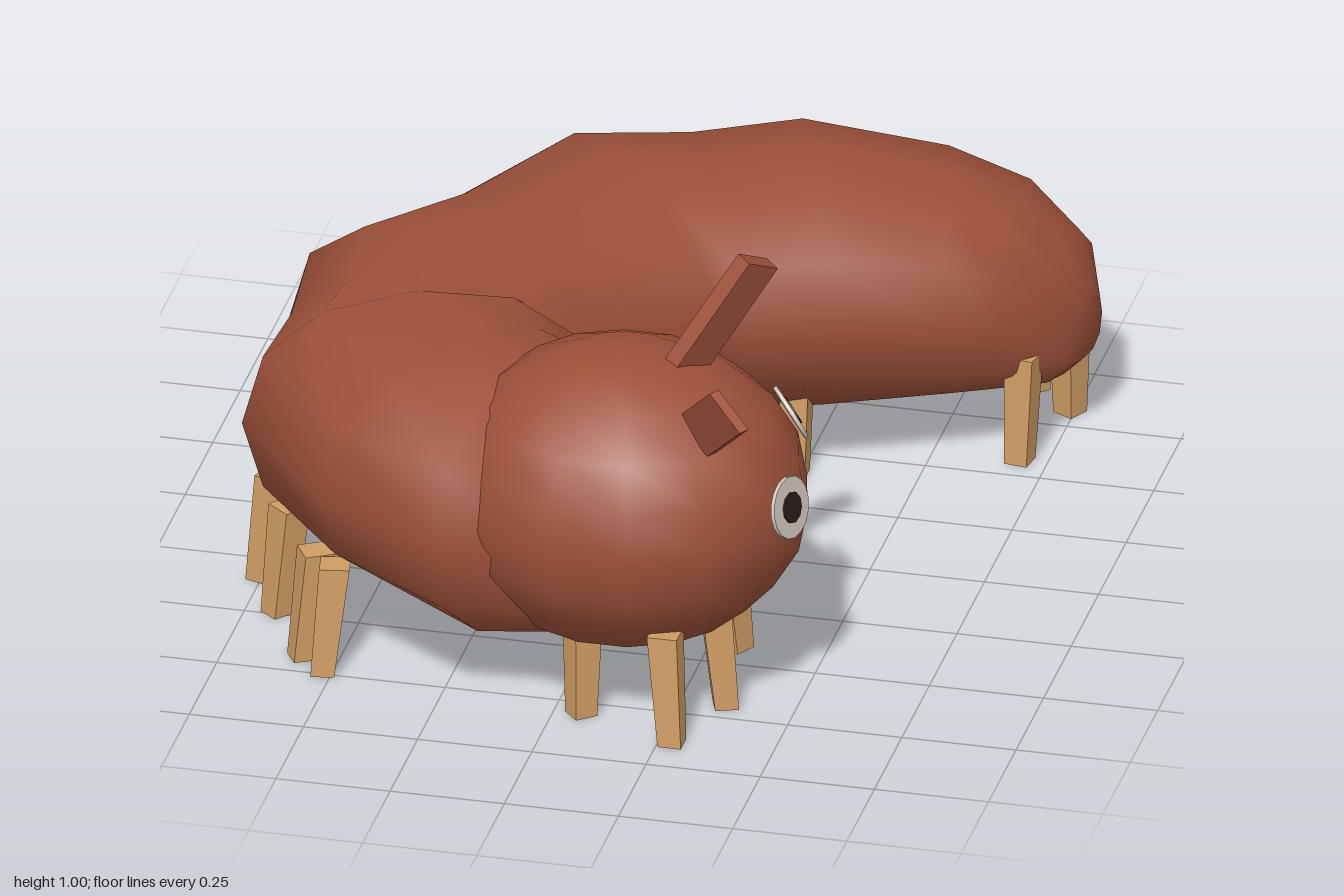
import * as THREE from 'three';

const skin = new THREE.MeshStandardMaterial({ color: 0x9c5039 });
skin.name = 'rust brown';
const tan = new THREE.MeshStandardMaterial({ color: 0xcf9c63 });
tan.name = 'tan';
const white = new THREE.MeshStandardMaterial({ color: 0xd2c8be });
white.name = 'eye white';
const black = new THREE.MeshStandardMaterial({ color: 0x2a1d1c });
black.name = 'pupil black';

const V = (x, y, z) => new THREE.Vector3(x, y, z);
const UP = V(0, 1, 0);

function add(parent, name, geometry, material) {
  const mesh = new THREE.Mesh(geometry, material);
  mesh.name = name;
  parent.add(mesh);
  return mesh;
}

// Body cross-sections from tail to neck: x, z, half width, top, bottom
const RINGS = [
  [0.795, -0.7, 0.07, 0.36, 0.19],
  [0.75, -0.72, 0.16, 0.46, 0.14],
  [0.65, -0.73, 0.235, 0.55, 0.13],
  [0.5, -0.71, 0.29, 0.61, 0.12],
  [0.22, -0.63, 0.345, 0.67, 0.11],
  [0.02, -0.54, 0.34, 0.66, 0.12],
  [-0.15, -0.45, 0.365, 0.69, 0.11],
  [-0.3, -0.22, 0.345, 0.66, 0.12],
  [-0.415, 0, 0.395, 0.69, 0.12],
  [-0.41, 0.17, 0.36, 0.67, 0.13],
  [-0.42, 0.29, 0.38, 0.7, 0.13],
  [-0.28, 0.48, 0.36, 0.7, 0.14],
  [-0.1, 0.6, 0.345, 0.71, 0.12],
  [0.05, 0.62, 0.29, 0.65, 0.15],
];

function bodyGeometry(sides = 12) {
  const positions = [];
  const index = [];
  const last = RINGS.length - 1;
  const centre = (i) => {
    const [x, z, , top, bottom] = RINGS[Math.min(last, Math.max(0, i))];
    return V(x, (top + bottom) / 2, z);
  };
  const soft = (v) => Math.sign(v) * Math.abs(v) ** 0.88;
  RINGS.forEach(([, , w, top, bottom], i) => {
    const along = centre(i + 1).sub(centre(i - 1)).setY(0).normalize();
    const side = UP.clone().cross(along);
    for (let j = 0; j < sides; j++) {
      const a = (j / sides) * Math.PI * 2;
      const p = centre(i)
        .addScaledVector(side, w * soft(Math.cos(a)))
        .addScaledVector(UP, ((top - bottom) / 2) * soft(Math.sin(a)));
      positions.push(p.x, p.y, p.z);
    }
  });
  const at = (i, j) => i * sides + (j % sides);
  const tail = RINGS.length * sides;
  positions.push(...centre(0).toArray(), ...centre(last).toArray());
  for (let j = 0; j < sides; j++) {
    for (let i = 0; i < last; i++) {
      index.push(at(i, j), at(i, j + 1), at(i + 1, j + 1));
      index.push(at(i, j), at(i + 1, j + 1), at(i + 1, j));
    }
    index.push(tail, at(0, j + 1), at(0, j));
    index.push(tail + 1, at(last, j), at(last, j + 1));
  }
  const g = new THREE.BufferGeometry();
  g.setAttribute('position', new THREE.Float32BufferAttribute(positions, 3));
  g.setIndex(index);
  g.computeVertexNormals();
  return g;
}

const HEAD = V(0.115, 0.46, 0.63);
const HEAD_SIZE = V(0.4, 0.335, 0.36);

// Flat eye and pupil resting on the head surface
function addEye(parent, name, y, z, radius) {
  const dy = (y - HEAD.y) / HEAD_SIZE.y;
  const dz = (z - HEAD.z) / HEAD_SIZE.z;
  const unit = V(Math.sqrt(1 - dy * dy - dz * dz), dy, dz);
  const eye = new THREE.Group();
  eye.name = name;
  eye.position.copy(unit).multiply(HEAD_SIZE).add(HEAD);
  const normal = unit.clone().divide(HEAD_SIZE).normalize();
  eye.quaternion.setFromUnitVectors(UP, normal);
  add(eye, 'eyeWhite', new THREE.CylinderGeometry(radius, radius, 0.009, 16), white).position.y = 0.006;
  add(eye, 'pupil', new THREE.CylinderGeometry(0.034, 0.034, 0.008, 10), black).position.y = 0.011;
  parent.add(eye);
}

// Flat blade from a base point to a tip, spread along the edge vector
function addFeeler(parent, name, base, tip, edge, thickness) {
  const along = tip.clone().sub(base);
  const flat = edge.clone().cross(along).setLength(thickness);
  const g = new THREE.BoxGeometry(1, 1, 1);
  g.applyMatrix4(new THREE.Matrix4().makeBasis(edge, along, flat));
  add(parent, name, g, skin).position.copy(base).lerp(tip, 0.5);
}

// Foot positions: x, z
const FEET = [
  [0.28, 0.89], [0.35, 0.69], [0.06, 0.8], [0.31, 0.42], [0.09, 0.4],
  [-0.52, 0.74], [-0.58, 0.68], [-0.68, 0.49], [-0.75, 0.34], [-0.74, 0.22],
  [-0.75, -0.08], [-0.65, -0.32], [-0.53, -0.17], [-0.37, -0.39], [-0.2, -0.67],
  [-0.1, -0.75], [-0.07, -0.26], [0.02, -0.12], [0.24, -0.4], [0.3, -0.92],
  [0.64, -0.91], [0.74, -0.82], [0.69, -0.57],
];

export function createModel() {
  const model = new THREE.Group();
  model.name = 'caterpillar';

  add(model, 'body', bodyGeometry(), skin);

  const head = add(model, 'head', new THREE.SphereGeometry(1, 14, 10), skin);
  head.scale.copy(HEAD_SIZE);
  head.position.copy(HEAD);

  addEye(model, 'leftEye', 0.6, 0.475, 0.064);
  addEye(model, 'rightEye', 0.51, 0.73, 0.068);

  addFeeler(model, 'leftFeeler', V(0.23, 0.74, 0.62), V(0.38, 0.98, 0.52), V(0.045, -0.04, -0.07), 0.04);
  addFeeler(model, 'rightFeeler', V(0.31, 0.69, 0.79), V(0.42, 0.838, 0.95), V(0.085, -0.045, 0.08), 0.022);

  // Legs: short square pegs, narrower at the foot, leaning in slightly
  const legs = new THREE.Group();
  legs.name = 'legs';
  FEET.forEach(([x, z], i) => {
    const g = new THREE.CylinderGeometry(0.046, 0.036, 0.25, 4).toNonIndexed();
    g.computeVertexNormals();
    g.rotateY(Math.PI / 4 + i * 0.35).translate(0, 0.125, 0);
    // Lean the top toward the nearest point of the body's centre line
    const near = RINGS.reduce((a, b) =>
      Math.hypot(a[0] - x, a[1] - z) < Math.hypot(b[0] - x, b[1] - z) ? a : b);
    const lean = V(near[0] - x, 0, near[1] - z).multiplyScalar(0.35);
    const p = g.attributes.position;
    for (let k = 0; k < p.count; k++) {
      const y = p.getY(k);
      p.setXYZ(k, p.getX(k) + lean.x * y, y, p.getZ(k) + lean.z * y);
    }
    g.computeVertexNormals();
    add(legs, 'leg', g, tan).position.set(x, 0, z);
  });
  model.add(legs);

  return model;
}
